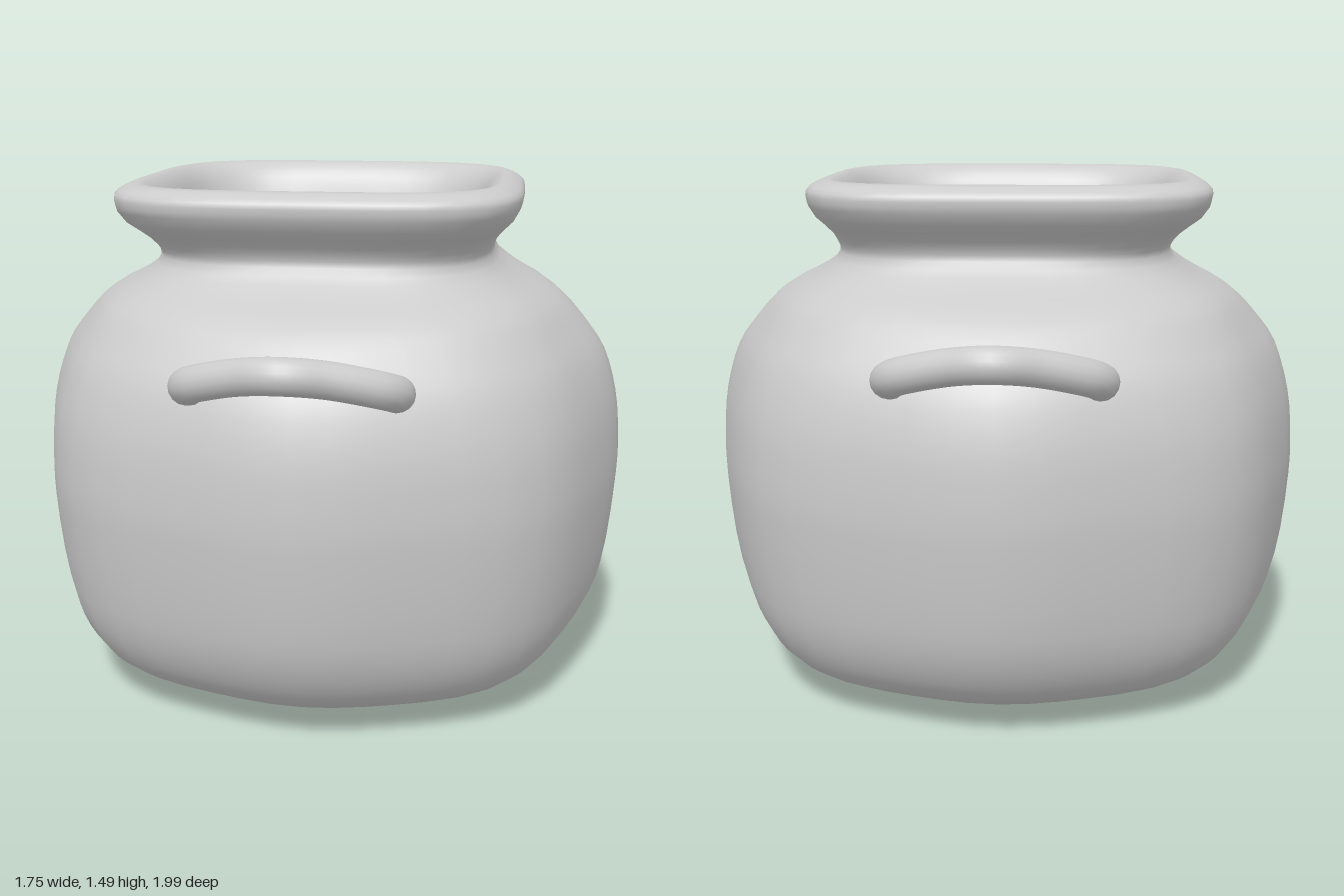
import * as THREE from 'three';

const material = new THREE.MeshStandardMaterial({ color: 0xcccccc, side: THREE.DoubleSide });

// Wall profile, outer base -> rim -> inner floor: half-width, height, squareness of the ring
const profile = [
  [0.2, 0, 2.4], [0.39, 0, 2.4], [0.6, 0.05, 2.35], [0.727, 0.12, 2.3], [0.8, 0.215, 2.25],
  [0.845, 0.34, 2.2], [0.875, 0.6, 2.2], [0.875, 0.72, 2.2], [0.86, 0.86, 2.2], [0.82, 0.99, 2.2],
  [0.755, 1.08, 2.3], [0.68, 1.155, 2.5], [0.56, 1.22, 2.9], [0.485, 1.285, 3.4], [0.505, 1.34, 3.7],
  [0.575, 1.42, 4], [0.58, 1.465, 4], [0.54, 1.49, 4], [0.49, 1.475, 3.8], [0.455, 1.42, 3.6],
  [0.432, 1.3, 3.3], [0.5, 1.2, 2.9], [0.63, 1.12, 2.5], [0.745, 0.99, 2.2], [0.81, 0.8, 2.2],
  [0.81, 0.5, 2.2], [0.73, 0.22, 2.25], [0.55, 0.1, 2.35], [0.36, 0.06, 2.4], [0.2, 0.06, 2.4],
].map((p) => new THREE.Vector3(...p));

// Rounded-square rings that blend from a nearly round belly to a square rim
function potGeometry(segments = 48, steps = 87) {
  const rings = new THREE.CatmullRomCurve3(profile, false, 'centripetal').getPoints(steps);
  const positions = [], index = [];
  rings.forEach(({ x: half, y, z: n }) => {
    const dip = 0.03 * THREE.MathUtils.clamp((3 - n) / 0.8, 0, 1);
    const shift = -0.015 * THREE.MathUtils.smoothstep(y, 1.28, 1.42);
    for (let i = 0; i < segments; i++) {
      const a = (i / segments) * Math.PI * 2;
      const c = Math.cos(a), s = Math.sin(a);
      const square = Math.pow(Math.abs(c) ** n + Math.abs(s) ** n, -1 / n);
      const r = half * square * (1 - dip * (1 - Math.cos(8 * a)) / 2);
      positions.push(r * c + shift, Math.max(y, 0), r * s);
    }
  });
  for (let j = 0; j < steps; j++) {
    for (let i = 0; i < segments; i++) {
      const k = (i + 1) % segments;
      const a = j * segments + i, b = j * segments + k;
      const c = a + segments, d = b + segments;
      index.push(a, c, b, b, c, d);
    }
  }
  // Close the base and the inner floor
  const base = positions.length / 3, floor = base + 1, last = steps * segments;
  positions.push(0, 0, 0, 0, 0.06, 0);
  for (let i = 0; i < segments; i++) {
    const k = (i + 1) % segments;
    index.push(base, i, k, floor, last + k, last + i);
  }
  const g = new THREE.BufferGeometry();
  g.setAttribute('position', new THREE.Float32BufferAttribute(positions, 3));
  g.setIndex(index);
  g.computeVertexNormals();
  return g;
}

// Bent bar handle whose ends pass into the wall
function makeHandle(name) {
  const group = new THREE.Group();
  group.name = name;
  const half = [[0.267, 1.01, 0.745], [0.267, 1.025, 0.8], [0.235, 1.045, 0.848], [0.11, 1.08, 0.908]];
  const mirrored = half.map(([x, y, z]) => [-x, y, z]).reverse();
  const points = [...half, [0, 1.095, 0.948], ...mirrored].map((p) => new THREE.Vector3(...p));
  const path = new THREE.CatmullRomCurve3(points, false, 'centripetal');
  const radius = 0.048;
  const bar = new THREE.Mesh(new THREE.TubeGeometry(path, 48, radius, 16), material);
  bar.name = 'handleBar';
  group.add(bar);
  for (const t of [0, 1]) {
    const cap = new THREE.Mesh(new THREE.SphereGeometry(radius, 16, 10), material);
    cap.name = 'handleEnd';
    cap.position.copy(path.getPoint(t));
    cap.lookAt(cap.position.clone().add(path.getTangent(t)));
    cap.scale.z = 0.3;
    group.add(cap);
  }
  return group;
}

export function createModel() {
  const model = new THREE.Group();
  model.name = 'pot';
  const body = new THREE.Mesh(potGeometry(), material);
  body.name = 'potBody';
  const front = makeHandle('frontHandle');
  const back = makeHandle('backHandle');
  back.rotation.y = Math.PI;
  model.add(body, front, back);
  return model;
}
